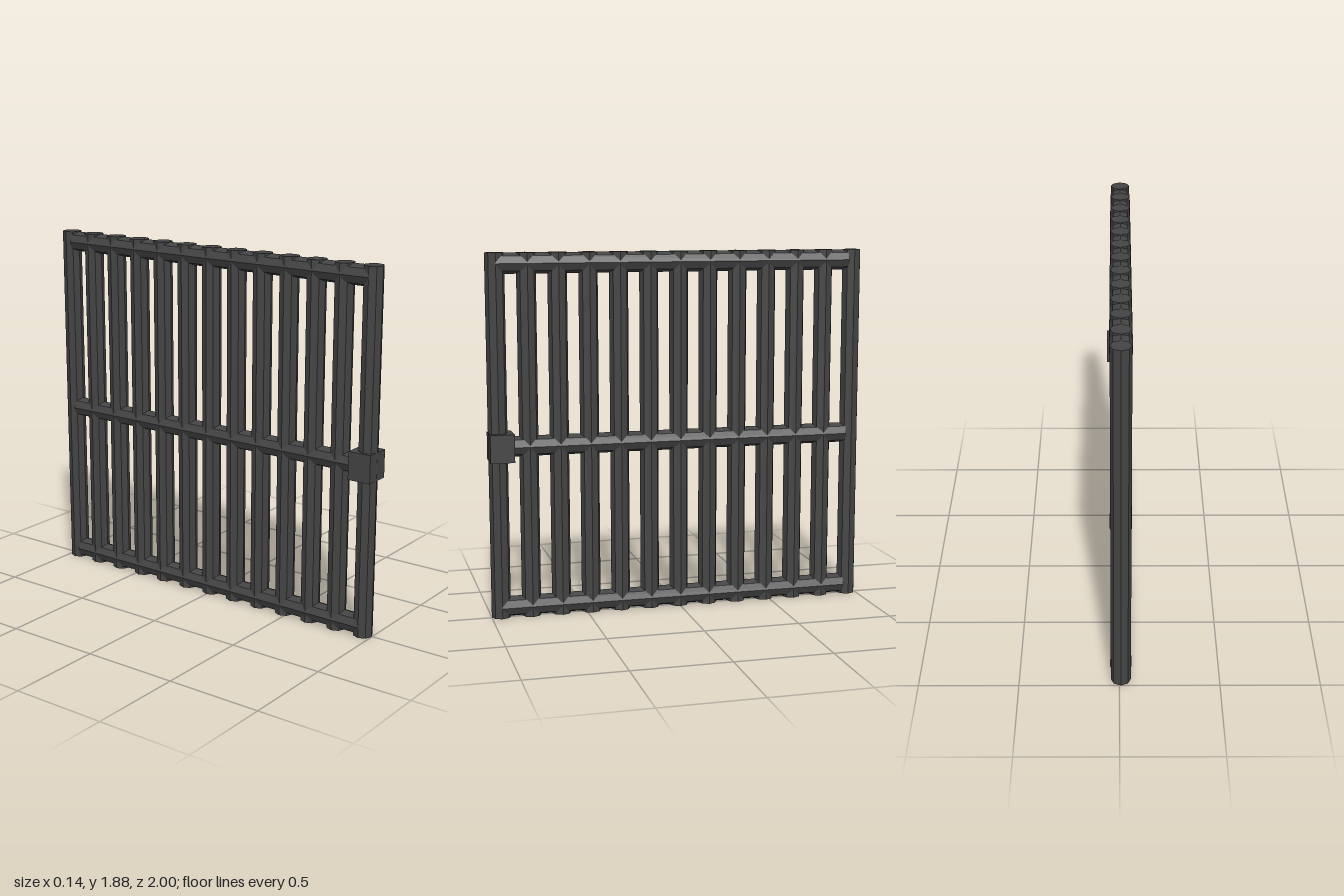
import * as THREE from 'three';

export function createModel() {
  const gate = new THREE.Group();
  gate.name = 'barredGate';
  const iron = new THREE.MeshStandardMaterial({ color: 0x444444, flatShading: true });

  const add = (name, geometry, x, y, z) => {
    const mesh = new THREE.Mesh(geometry, iron);
    mesh.name = name;
    mesh.position.set(x, y, z);
    gate.add(mesh);
    return mesh;
  };

  const height = 1.876;
  const barX = -0.007;

  // Upright octagonal bars, evenly spaced along the gate
  const count = 13;
  const barGeometry = new THREE.CylinderGeometry(0.05, 0.05, height, 8);
  for (let i = 0; i < count; i++) {
    const z = 0.95 - (1.9 * i) / (count - 1);
    add('uprightBar' + (i + 1), barGeometry, barX, height / 2, z);
  }

  // Horizontal octagonal rails: bottom, middle and top
  const railGeometry = new THREE.CylinderGeometry(0.053, 0.053, 1.87, 8);
  railGeometry.rotateX(Math.PI / 2);
  const rails = { bottomRail: 0.055, middleRail: 0.893, topRail: 1.822 };
  for (const [name, y] of Object.entries(rails)) add(name, railGeometry, barX, y, 0.015);

  // Lock box around the front upright
  add('lockBox', new THREE.BoxGeometry(0.138, 0.145, 0.124), 0, 0.893, 0.936);

  return gate;
}
